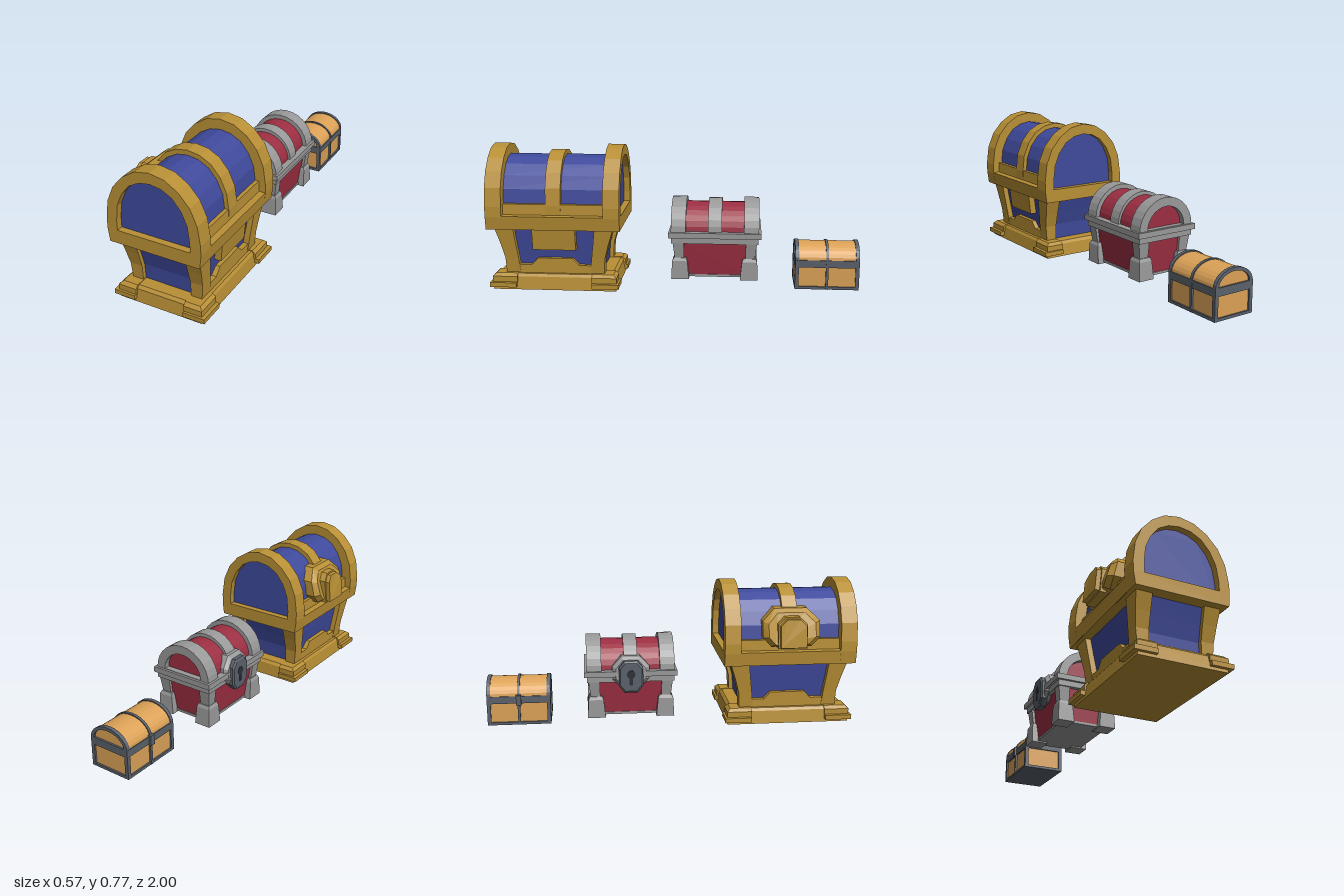
import * as THREE from 'three';

const mat = (color) => new THREE.MeshStandardMaterial({ color, flatShading: true });
const GOLD = mat(0xb88f35), BLUE = mat(0x3f4a9c), GREY = mat(0x999999), RED = mat(0x9c2e42);
const SLATE = mat(0x5a616b), WOOD = mat(0xdca257), DARK = mat(0x2c3036);
const SIDES = [-1, 1];

function add(group, name, geo, material) {
  const m = new THREE.Mesh(geo, material);
  m.name = name;
  group.add(m);
  return m;
}

// box given by its minimum and maximum in each axis
function box(x0, x1, y0, y1, z0, z1) {
  return new THREE.BoxGeometry(Math.abs(x1 - x0), y1 - y0, Math.abs(z1 - z0))
    .translate((x0 + x1) / 2, (y0 + y1) / 2, (z0 + z1) / 2);
}

// closed solid through rings of equal point count, turned outward by signed volume
function loft(rings) {
  const tris = [], n = rings[0].length, last = rings[rings.length - 1];
  for (let r = 0; r + 1 < rings.length; r++) {
    for (let i = 0; i < n; i++) {
      const j = (i + 1) % n, a = rings[r], b = rings[r + 1];
      tris.push([a[i], a[j], b[j]], [a[i], b[j], b[i]]);
    }
  }
  for (let i = 1; i + 1 < n; i++) {
    tris.push([rings[0][0], rings[0][i + 1], rings[0][i]], [last[0], last[i], last[i + 1]]);
  }
  const v = (p) => new THREE.Vector3(...p);
  const o = rings[0][0];
  let vol = 0;
  for (const [a, b, c] of tris) vol += v(a).sub(v(o)).dot(v(b).sub(v(o)).cross(v(c).sub(v(o))));
  const pos = tris.flatMap(([a, b, c]) => (vol > 0 ? [a, b, c] : [a, c, b])).flat();
  const g = new THREE.BufferGeometry();
  g.setAttribute('position', new THREE.Float32BufferAttribute(pos, 3));
  g.computeVertexNormals();
  return g;
}

// stacked rectangles: each level is [y, x0, x1, z0, z1]
const stack = (levels, sx = 1, sz = 1) => loft(levels.map(([y, x0, x1, z0, z1]) =>
  [[x0, z0], [x1, z0], [x1, z1], [x0, z1]].map(([x, z]) => [x * sx, y, z * sz])));
const tapered = (levels) => stack(levels.map(([y, x, z]) => [y, -x, x, -z, z]));

// symmetric outline from a right half that runs from the bottom to the apex
const outline = (half) => [...half, ...half.slice(0, -1).reverse().map(([x, y]) => [-x, y])]
  .map(([x, y]) => new THREE.Vector2(x, y));

function extrude(points, z0, z1, hole) {
  const s = new THREE.Shape(points);
  if (hole) s.holes.push(new THREE.Path(hole));
  return new THREE.ExtrudeGeometry(s, { depth: z1 - z0, bevelEnabled: false }).translate(0, 0, z0);
}

// half of a round arch standing on y0
function halfArch(w, y0, h, n = 7) {
  return Array.from({ length: n + 1 }, (_, i) => {
    const a = (i / n) * Math.PI / 2;
    return [i === n ? 0 : w * Math.cos(a), y0 + h * Math.sin(a)];
  });
}

// lock plate facing -x: a (z, y) outline widening toward its back, x given per layer as [x, scale, lean]
function lockLayer(pts, yc, layers) {
  return loft(layers.map(([x, s, lean]) => pts.map(([z, y]) =>
    [x + Math.max(0, y - yc) * lean, yc + (y - yc) * s, z * s])));
}

function largeChest() {
  const g = new THREE.Group();
  g.name = 'largeChest';
  const outer = [[0.248, 0.335], [0.257, 0.405], [0.257, 0.46], [0.243, 0.56], [0.207, 0.643], [0.15, 0.708], [0.08, 0.752], [0, 0.767]];
  const inner = [[0.2, 0.408], [0.2, 0.46], [0.19, 0.545], [0.16, 0.615], [0.115, 0.67], [0.06, 0.7], [0, 0.71]];

  // base with stepped corners
  add(g, 'base', tapered([[0, 0.235, 0.335], [0.07, 0.225, 0.325], [0.085, 0.215, 0.31]]), GOLD);
  for (const sx of SIDES) for (const sz of SIDES) {
    add(g, 'baseCornerSlab', stack([[0.017, 0.138, 0.257, 0.205, 0.35], [0.042, 0.138, 0.257, 0.205, 0.35]], sx, sz), GOLD);
    add(g, 'baseCornerBlock', stack([[0.042, 0.136, 0.237, 0.203, 0.338], [0.072, 0.136, 0.237, 0.203, 0.338],
      [0.088, 0.136, 0.22, 0.203, 0.32]], sx, sz), GOLD);
    add(g, 'cornerPost', stack([[0.08, 0.138, 0.198, 0.19, 0.268], [0.17, 0.138, 0.206, 0.2, 0.272],
      [0.25, 0.138, 0.215, 0.21, 0.293], [0.336, 0.138, 0.225, 0.22, 0.32]], sx, sz), GOLD);
  }
  add(g, 'body', tapered([[0.08, 0.165, 0.245], [0.17, 0.175, 0.25], [0.25, 0.185, 0.272], [0.336, 0.195, 0.298]]), BLUE);

  // lower side trims with a raised centre, and the hinge plate
  const trim = [[0.26, 0.08], [0.26, 0.13], [0.13, 0.13], [0.095, 0.168], [0, 0.168]];
  for (const s of SIDES) {
    const t = extrude(outline(trim), -0.014, 0.014).rotateY(-Math.PI / 2).translate(s * 0.184, 0, 0);
    add(g, 'sideTrim', t, GOLD);
  }
  add(g, 'hingePlate', stack([[0.22, 0.17, 0.218, -0.117, 0.117], [0.336, 0.17, 0.23, -0.117, 0.117]]), GOLD);

  // lid
  add(g, 'lidFloor', box(-0.246, 0.246, 0.335, 0.345, -0.355, 0.355), GOLD);
  add(g, 'lidBarrel', extrude(outline([[0.2, 0.34], ...inner.slice(1)]), -0.325, 0.325), BLUE);
  for (const s of SIDES) {
    add(g, 'lidEndArch', extrude(outline(outer), s > 0 ? 0.272 : -0.36, s > 0 ? 0.36 : -0.272, outline(inner)), GOLD);
    const rail = [[0.19, 0.336], [0.248, 0.336], [0.257, 0.41], [0.222, 0.412], [0.219, 0.47], [0.19, 0.47]];
    add(g, 'lidRail', extrude(rail.map(([x, y]) => new THREE.Vector2(x * s, y)), -0.275, 0.275), GOLD);
  }
  const band = inner.map(([x, y]) => [x * 1.11, 0.41 + (y - 0.41) * 1.085]);
  add(g, 'lidMiddleBand', extrude(outline(band), -0.041, 0.041), GOLD);

  // lock
  const plate = [[-0.11, 0.44], [0.11, 0.44], [0.155, 0.49], [0.155, 0.575], [0.09, 0.638], [-0.09, 0.638], [-0.155, 0.575], [-0.155, 0.49]];
  add(g, 'lockPlate', lockLayer(plate, 0.53, [[-0.14, 1, 0.5], [-0.25, 1, 0.5], [-0.275, 0.82, 0.5]]), GOLD);
  const knob = [[-0.07, 0.445], [0.07, 0.445], [0.07, 0.56], [0.035, 0.594], [-0.035, 0.594], [-0.07, 0.56]];
  add(g, 'lockKnob', lockLayer(knob, 0.52, [[-0.24, 1.12, 0.3], [-0.286, 1.12, 0.3], [-0.286, 1, 0.3], [-0.31, 1, 0.3]]), GOLD);
  g.position.set(0.025, 0, 0.64);
  return g;
}

function mediumChest() {
  const g = new THREE.Group();
  g.name = 'mediumChest';
  // body, feet and posts
  add(g, 'bottomPlate', box(-0.135, 0.135, 0.057, 0.07, -0.2, 0.2), GREY);
  add(g, 'body', tapered([[0.062, 0.13, 0.195], [0.26, 0.15, 0.212]]), RED);
  for (const sx of SIDES) for (const sz of SIDES) {
    add(g, 'foot', stack([[0.05, 0.075, 0.168, 0.138, 0.235], [0.15, 0.085, 0.165, 0.148, 0.23], [0.167, 0.09, 0.157, 0.155, 0.222]], sx, sz), GREY);
    add(g, 'cornerPost', stack([[0.15, 0.1, 0.152, 0.165, 0.215], [0.26, 0.1, 0.166, 0.168, 0.228]], sx, sz), GREY);
  }
  // rim
  add(g, 'lowerRim', box(-0.17, 0.17, 0.25, 0.282, -0.235, 0.235), GREY);
  add(g, 'upperRim', box(-0.183, 0.183, 0.282, 0.312, -0.25, 0.25), GREY);

  // lid
  add(g, 'lidBarrel', extrude(outline(halfArch(0.147, 0.305, 0.145)), -0.205, 0.205), RED);
  for (const s of SIDES) {
    add(g, 'lidEndArch', extrude(outline(halfArch(0.17, 0.305, 0.17)), s > 0 ? 0.157 : -0.237, s > 0 ? 0.237 : -0.157,
      outline(halfArch(0.118, 0.315, 0.112))), GREY);
  }
  add(g, 'lidMiddleBand', extrude(outline(halfArch(0.16, 0.305, 0.165)), -0.037, 0.037), GREY);

  // lock
  const octagon = [[-0.05, 0.22], [0.05, 0.22], [0.1, 0.265], [0.1, 0.335], [0.05, 0.39], [-0.05, 0.39], [-0.1, 0.335], [-0.1, 0.265]];
  add(g, 'lockPlate', lockLayer(octagon, 0.3, [[-0.12, 1, 0.15], [-0.168, 1, 0.15], [-0.186, 0.8, 0.15]]), GREY);
  const shield = [[-0.035, 0.197], [0.035, 0.197], [0.065, 0.235], [0.065, 0.335], [0.035, 0.372], [-0.035, 0.372], [-0.065, 0.335], [-0.065, 0.235]];
  add(g, 'lockFace', lockLayer(shield, 0.285, [[-0.16, 1, 0], [-0.195, 1, 0], [-0.202, 0.88, 0]]), SLATE);
  add(g, 'keyholeTop', new THREE.CylinderGeometry(0.023, 0.023, 0.004, 10).rotateZ(Math.PI / 2).translate(-0.202, 0.3, 0), DARK);
  add(g, 'keyholeSlot', box(-0.204, -0.2, 0.24, 0.3, -0.01, 0.01), DARK);
  g.position.set(0, 0, -0.22);
  return g;
}

function smallChest() {
  const g = new THREE.Group();
  g.name = 'smallChest';
  const X = 0.118, Z = 0.172;
  // body panels inside a metal frame
  add(g, 'body', box(-0.109, 0.109, 0.004, 0.16, -0.163, 0.163), WOOD);
  add(g, 'bottomPlate', box(-X, X, 0, 0.012, -Z, Z), SLATE);
  for (const s of SIDES) {
    for (const [y0, y1] of [[0, 0.015], [0.122, 0.162]]) {
      add(g, 'sideRail', box(s * 0.1, s * X, y0, y1, -Z, Z), SLATE);
      add(g, 'endRail', box(-X, X, y0, y1, s * 0.155, s * Z), SLATE);
    }
    for (const sz of SIDES) add(g, 'cornerPost', box(s * 0.098, s * X, 0, 0.162, sz * 0.152, sz * Z), SLATE);
    add(g, 'sideStrap', box(s * 0.1, s * (X + 0.002), 0, 0.165, -0.007, 0.007), SLATE);
  }
  // lid
  add(g, 'lidBarrel', extrude(outline(halfArch(0.114, 0.158, 0.084)), -0.162, 0.162), WOOD);
  for (const s of SIDES) {
    add(g, 'lidEndArch', extrude(outline(halfArch(X, 0.158, 0.09)), s > 0 ? 0.152 : -Z, s > 0 ? Z : -0.152,
      outline(halfArch(0.097, 0.164, 0.066))), SLATE);
  }
  add(g, 'lidStrap', extrude(outline(halfArch(0.12, 0.158, 0.09)), -0.007, 0.007), SLATE);
  add(g, 'clasp', box(-0.131, -0.11, 0.115, 0.17, -0.014, 0.014), SLATE);
  g.position.set(0.023, 0, -0.828);
  return g;
}

export function createModel() {
  const model = new THREE.Group();
  model.name = 'treasureChests';
  model.add(largeChest(), mediumChest(), smallChest());
  return model;
}
